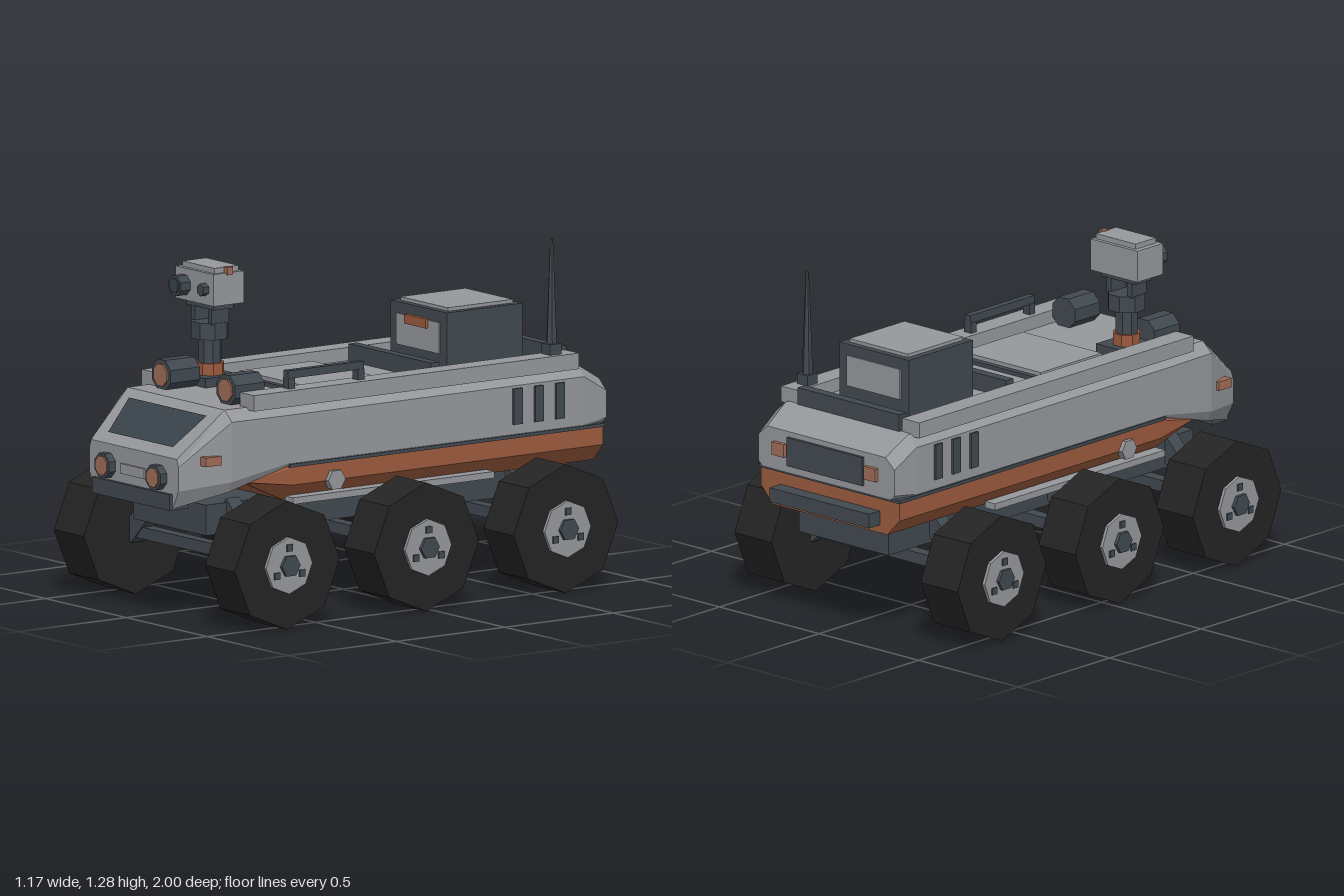
import * as THREE from 'three';

const mat = (name, color) => {
  const m = new THREE.MeshStandardMaterial({ color, flatShading: true });
  m.name = name;
  return m;
};

export function createModel() {
  const root = new THREE.Group();
  root.name = 'sixWheelRover';
  const grey = mat('panelGrey', 0x95979b);
  const dark = mat('slate', 0x414950);
  const rust = mat('rustPaint', 0x9c5a3e);
  const lens = mat('amberLens', 0xa06c57);
  const tyre = mat('rubber', 0x242424);
  const glass = mat('darkGlass', 0x3a424b);

  const add = (name, geo, m, parent = root) => {
    const mesh = new THREE.Mesh(geo, m);
    mesh.name = name;
    parent.add(mesh);
    return mesh;
  };
  // Box given by its limits on each axis
  const box = (name, m, x0, x1, y0, y1, z0, z1, parent = root) => {
    const b = add(name, new THREE.BoxGeometry(x1 - x0, y1 - y0, z1 - z0), m, parent);
    b.position.set((x0 + x1) / 2, (y0 + y1) / 2, (z0 + z1) / 2);
    return b;
  };
  // Prism along an axis, turned so that a flat side faces up
  const prism = (name, m, axis, r, len, x, y, z, sides = 8, turn = Math.PI / sides, parent = root) => {
    const g = new THREE.CylinderGeometry(r, r, len, sides);
    g.rotateY(turn);
    if (axis === 'x') g.rotateZ(-Math.PI / 2);
    if (axis === 'z') g.rotateX(Math.PI / 2);
    const p = add(name, g, m, parent);
    p.position.set(x, y, z);
    return p;
  };
  // Skin over chamfered cross-sections ordered from front to back
  const loft = (name, m, sections) => {
    const rings = sections.map(({ z, w, top, bot, c, e, lc, le }) => {
      const half = [[w - lc, bot], [w, bot + le], [w, top - e], [w - c, top]];
      return [...half, ...half.slice().reverse().map(([x, y]) => [-x, y])].map(([x, y]) => [x, y, z]);
    });
    const pos = [];
    const tri = (a, b, c) => pos.push(...a, ...b, ...c);
    for (let k = 0; k < rings.length - 1; k++) {
      const a = rings[k], b = rings[k + 1];
      for (let i = 0; i < 8; i++) {
        const j = (i + 1) % 8;
        tri(a[i], b[i], b[j]);
        tri(a[i], b[j], a[j]);
      }
    }
    const f = rings[0], r = rings[rings.length - 1];
    for (let i = 1; i < 7; i++) {
      tri(f[0], f[i], f[i + 1]);
      tri(r[0], r[i + 1], r[i]);
    }
    const g = new THREE.BufferGeometry();
    g.setAttribute('position', new THREE.Float32BufferAttribute(pos, 3));
    g.computeVertexNormals();
    return add(name, g, m);
  };

  // Hull
  loft('upperHull', grey, [
    { z: 0.965, w: 0.275, top: 0.63, bot: 0.44, c: 0.01, e: 0.03, lc: 0.035, le: 0.07 },
    { z: 0.77, w: 0.345, top: 0.8, bot: 0.495, c: 0.045, e: 0.04, lc: 0.02, le: 0.04 },
    { z: 0.51, w: 0.352, top: 0.8, bot: 0.57, c: 0.045, e: 0.04, lc: 0.005, le: 0.01 },
    { z: -0.85, w: 0.352, top: 0.8, bot: 0.57, c: 0.045, e: 0.04, lc: 0.005, le: 0.01 },
    { z: -0.96, w: 0.342, top: 0.735, bot: 0.575, c: 0.045, e: 0.04, lc: 0.02, le: 0.02 },
  ]);
  loft('lowerHull', rust, [
    { z: 0.67, w: 0.335, top: 0.53, bot: 0.51, c: 0.005, e: 0.005, lc: 0.03, le: 0.01 },
    { z: 0.49, w: 0.348, top: 0.572, bot: 0.43, c: 0.005, e: 0.01, lc: 0.06, le: 0.065 },
    { z: -0.94, w: 0.348, top: 0.572, bot: 0.43, c: 0.005, e: 0.01, lc: 0.06, le: 0.065 },
  ]);
  box('beltTrim', dark, -0.355, 0.355, 0.563, 0.576, -0.945, 0.51);

  // Windscreen plate lying on the sloped nose
  const scr = (x, y) => [x, y + 0.004, 0.77 + (0.8 - y) * 1.147 + 0.004];
  const wg = new THREE.BufferGeometry();
  wg.setAttribute('position', new THREE.Float32BufferAttribute(
    [scr(-0.2, 0.66), scr(0.2, 0.66), scr(0.24, 0.77), scr(-0.24, 0.77)].flat(), 3));
  wg.setIndex([0, 1, 2, 0, 2, 3]);
  wg.computeVertexNormals();
  add('windscreen', wg, glass);

  // Nose and tail fittings
  box('frontBumper', dark, -0.24, 0.24, 0.435, 0.495, 0.89, 0.98);
  box('nosePlate', grey, -0.073, 0.073, 0.53, 0.568, 0.96, 0.974);
  box('rearPanel', dark, -0.19, 0.19, 0.605, 0.715, -0.972, -0.95);
  box('rearBumper', dark, -0.25, 0.25, 0.46, 0.515, -1, -0.93);

  // Chassis
  box('chassis', dark, -0.225, 0.225, 0.32, 0.435, -0.865, 0.8);
  box('bellyPlate', grey, -0.115, 0.115, 0.297, 0.322, -0.43, 0.5);

  // Paired side fittings
  for (const s of [-1, 1]) {
    const side = (name, m, x0, x1, ...r) => box(name, m, Math.min(s * x0, s * x1), Math.max(s * x0, s * x1), ...r);
    prism('headlightHousing', dark, 'z', 0.049, 0.04, s * 0.158, 0.55, 0.975);
    prism('headlightLens', lens, 'z', 0.038, 0.01, s * 0.158, 0.55, 0.995);
    side('frontMarker', lens, 0.3, 0.34, 0.603, 0.637, 0.815, 0.885);
    side('rearMarker', lens, 0.2, 0.26, 0.635, 0.685, -0.976, -0.95);
    side('roofRail', grey, 0.26, 0.347, 0.79, 0.85, -0.83, 0.67);
    side('sillRail', grey, 0.31, 0.36, 0.425, 0.45, -0.43, 0.5);
    prism('fuelCap', grey, 'x', 0.04, 0.03, s * 0.35, 0.497, 0.3, 6, 0);
    for (const z of [-0.54, -0.638, -0.735]) side('sideVent', dark, 0.345, 0.361, 0.615, 0.75, z - 0.02, z + 0.02);
    prism('roofLamp', dark, 'z', 0.062, 0.135, s * 0.2, 0.852, 0.622);
    prism('roofLampLens', lens, 'z', 0.044, 0.008, s * 0.2, 0.852, 0.692);
    side('roofLampFoot', dark, 0.175, 0.225, 0.795, 0.82, 0.58, 0.66);
  }

  // Wheels, axles and struts
  for (const z of [0.675, 0.033, -0.61]) {
    box('axle', dark, -0.4, 0.4, 0.222, 0.266, z - 0.025, z + 0.025);
    for (const s of [-1, 1]) {
      const strut = add('strut', new THREE.BoxGeometry(0.28, 0.075, 0.06), dark);
      strut.position.set(s * 0.295, 0.325, z);
      strut.rotation.z = -s * Math.PI / 4;
      const wheel = new THREE.Group();
      wheel.name = 'wheel';
      wheel.position.set(s * 0.4675, 0.244, z);
      root.add(wheel);
      prism('tyre', tyre, 'x', 0.242, 0.185, 0, 0, 0, 8, 0, wheel);
      prism('hub', grey, 'x', 0.107, 0.02, s * 0.095, 0, 0, 8, 0, wheel);
      prism('hubCap', dark, 'x', 0.043, 0.03, s * 0.103, 0, 0, 6, 0, wheel);
      for (let i = 0; i < 3; i++) {
        const a = Math.PI / 2 + i * Math.PI * 2 / 3;
        const bolt = add('bolt', new THREE.BoxGeometry(0.014, 0.026, 0.026), dark, wheel);
        bolt.position.set(s * 0.104, Math.sin(a) * 0.067, Math.cos(a) * 0.067);
      }
    }
  }

  // Roof hatch, cross bars and grab handle
  box('hatchFrame', dark, -0.222, 0.218, 0.795, 0.815, -0.03, 0.35);
  box('hatchLid', grey, -0.2, 0.196, 0.8, 0.83, -0.007, 0.328);
  for (const z of [-0.235, -0.82]) box('crossBar', dark, -0.255, 0.255, 0.795, 0.865, z - 0.02, z + 0.02);
  box('handleBar', dark, 0.283, 0.311, 0.888, 0.918, 0.135, 0.485);
  for (const z of [0.15, 0.47]) box('handlePost', dark, 0.28, 0.314, 0.845, 0.89, z - 0.015, z + 0.015);

  // Equipment box
  box('equipmentBox', dark, -0.175, 0.173, 0.79, 1.027, -0.7, -0.35);
  box('equipmentLid', grey, -0.148, 0.146, 1.02, 1.04, -0.675, -0.375);
  for (const z of [-0.352, -0.698]) box('equipmentPanel', grey, -0.135, 0.132, 0.868, 0.985, z - 0.008, z + 0.008);
  box('equipmentHandle', rust, -0.068, 0.064, 0.955, 0.99, -0.35, -0.333);

  // Antenna
  box('antennaBase', dark, 0.272, 0.324, 0.845, 0.89, -0.767, -0.713);
  add('antenna', new THREE.CylinderGeometry(0.006, 0.021, 0.395, 6), dark).position.set(0.298, 1.085, -0.74);

  // Sensor mast
  const mx = -0.193, mz = 0.47;
  box('mastBase', dark, mx - 0.08, mx + 0.08, 0.795, 0.835, mz - 0.08, mz + 0.08);
  prism('mastRing', rust, 'y', 0.054, 0.05, mx, 0.855, mz);
  prism('mastColumn', dark, 'y', 0.044, 0.11, mx, 0.93, mz);
  prism('mastCollar', dark, 'y', 0.073, 0.063, mx, 1.003, mz);
  for (const s of [-1, 1]) box('mastFork', dark, mx + s * 0.052 - 0.012, mx + s * 0.052 + 0.012, 1.03, 1.1, mz - 0.04, mz + 0.04);
  box('headCradle', dark, mx - 0.088, mx + 0.085, 1.088, 1.112, mz - 0.045, mz + 0.045);
  box('sensorHead', grey, -0.312, -0.077, 1.11, 1.23, 0.4, 0.54);
  box('sensorLid', grey, -0.29, -0.09, 1.225, 1.25, 0.415, 0.525);
  box('sensorLamp', lens, -0.095, -0.07, 1.222, 1.252, 0.455, 0.481);
  prism('largeEye', dark, 'z', 0.04, 0.05, -0.257, 1.168, 0.56);
  prism('largeEyeGlass', glass, 'z', 0.029, 0.008, -0.257, 1.168, 0.586);
  prism('smallEye', dark, 'z', 0.024, 0.03, -0.126, 1.168, 0.55, 6, 0);

  return root;
}
